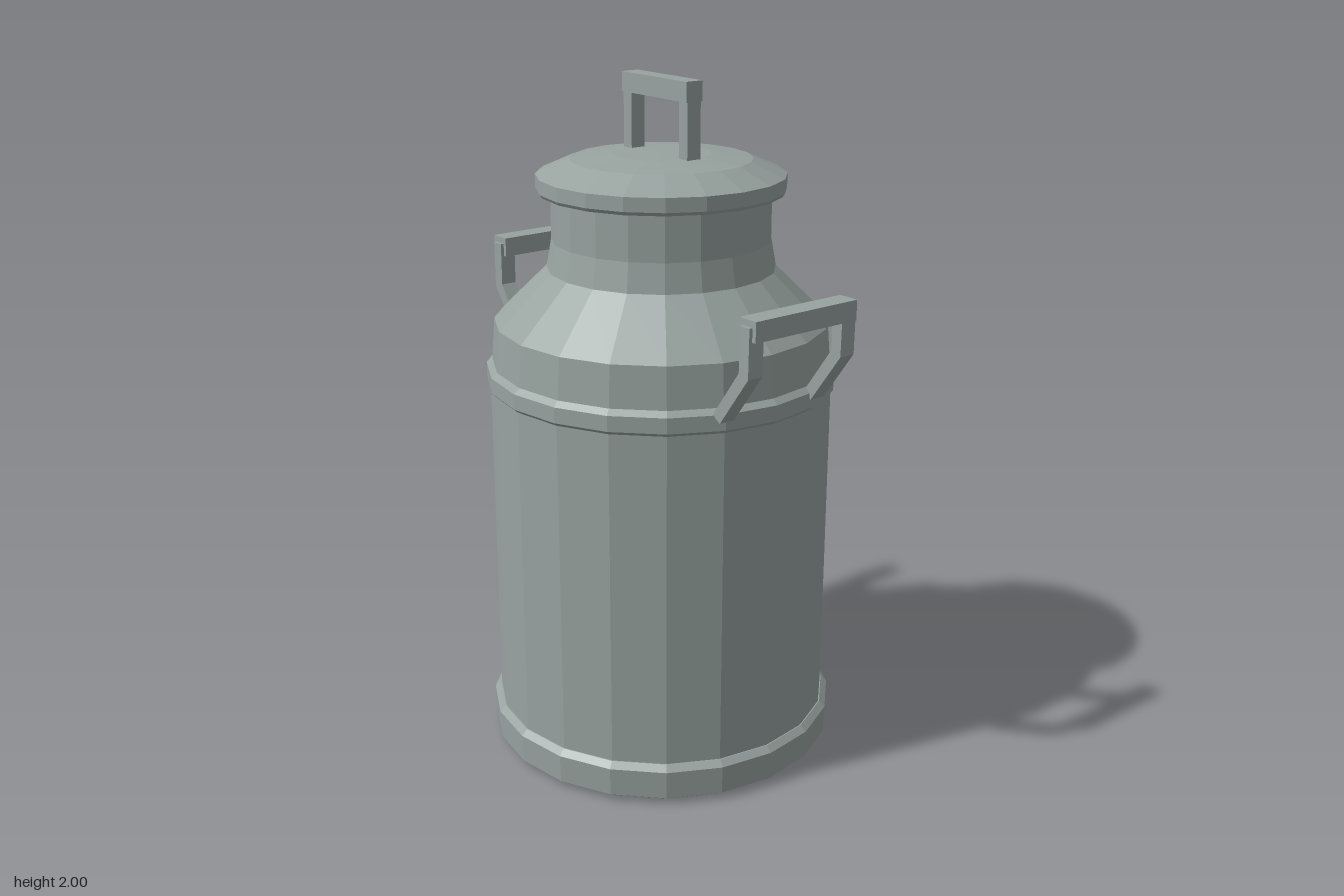
import * as THREE from 'three';

const SIDES = 20;
const steel = new THREE.MeshStandardMaterial({ color: 0x98a3a0 });
steel.name = 'dull steel';

// Faceted mesh: every face gets its own normal
function part(name, geometry, parent) {
  const flat = geometry.index ? geometry.toNonIndexed() : geometry;
  flat.computeVertexNormals();
  const mesh = new THREE.Mesh(flat, steel);
  mesh.name = name;
  parent.add(mesh);
  return mesh;
}

// Turned part from [radius, height] pairs, listed bottom to top
function turned(name, profile, parent) {
  const points = profile.map(([r, y]) => new THREE.Vector2(r, y));
  return part(name, new THREE.LatheGeometry(points, SIDES), parent);
}

function box(name, size, position, parent) {
  const mesh = part(name, new THREE.BoxGeometry(...size), parent);
  mesh.position.set(...position);
  return mesh;
}

export function createModel() {
  const can = new THREE.Group();
  can.name = 'milkCan';

  // Foot ring, barrel, raised band, shoulder and neck
  turned('body', [
    [0, 0], [0.49, 0], [0.52, 0.02], [0.523, 0.105], [0.505, 0.122], [0.502, 0.122],
    [0.502, 1.12], [0.512, 1.13], [0.512, 1.175], [0.495, 1.19],
    [0.485, 1.31], [0.33, 1.462], [0.315, 1.545], [0.315, 1.69],
  ], can);

  // Domed lid with overhanging rim
  turned('lid', [
    [0, 1.68], [0.35, 1.68], [0.357, 1.69], [0.357, 1.73],
    [0.26, 1.773], [0.14, 1.787], [0, 1.789],
  ], can);

  // Lid handle
  const lidHandle = new THREE.Group();
  lidHandle.name = 'lidHandle';
  box('lidGrip', [0.294, 0.056, 0.056], [0, 1.972, 0], lidHandle);
  for (const side of [-1, 1]) {
    box('lidPost', [0.037, 0.18, 0.046], [side * 0.127, 1.86, 0], lidHandle);
  }
  can.add(lidHandle);

  // Bent strap outline, from the shoulder up to the grip
  const strap = new THREE.Shape([
    [0.465, 1.175], [0.495, 1.158], [0.605, 1.307], [0.607, 1.445],
    [0.568, 1.445], [0.568, 1.317],
  ].map(([x, y]) => new THREE.Vector2(x, y)));

  // Two carrying handles, the second turned half a circle
  for (const [name, angle] of [['leftHandle', 0], ['rightHandle', Math.PI]]) {
    const handle = new THREE.Group();
    handle.name = name;
    for (const z of [-0.187, 0.138]) {
      const geometry = new THREE.ExtrudeGeometry(strap, { depth: 0.049, bevelEnabled: false });
      part('strap', geometry, handle).position.z = z;
    }
    box('grip', [0.064, 0.057, 0.354], [0.588, 1.435, 0], handle);
    handle.rotation.y = angle;
    can.add(handle);
  }

  return can;
}
